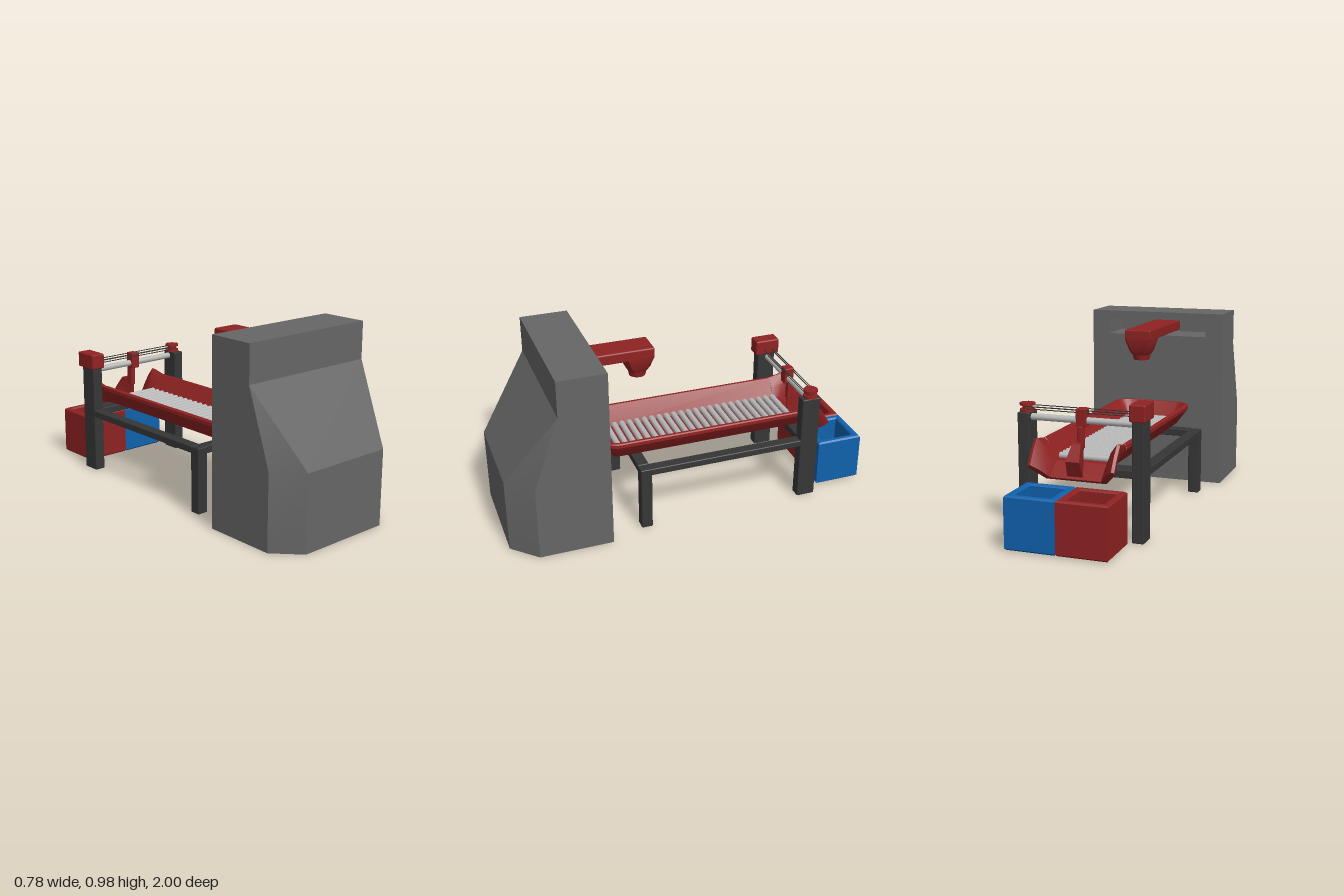
import * as THREE from 'three';
import { toCreasedNormals } from 'three/addons/utils/BufferGeometryUtils.js';
import { RoundedBoxGeometry } from 'three/addons/geometries/RoundedBoxGeometry.js';

const paint = (name, color) => {
  const m = new THREE.MeshStandardMaterial({ color });
  m.name = name;
  return m;
};

// Skin between stacked rings of [x, y, z]; rings run from +x back, round the front, to -x back.
function loft(rings, closed = true) {
  const pos = [];
  const tri = (a, b, c) => {
    const same = (p, q) => p.every((v, i) => Math.abs(v - q[i]) < 1e-6);
    if (!same(a, b) && !same(b, c) && !same(a, c)) pos.push(...a, ...b, ...c);
  };
  const n = rings[0].length;
  for (let k = 0; k < rings.length - 1; k++) {
    const lo = rings[k], hi = rings[k + 1];
    for (let i = 0; i < (closed ? n : n - 1); i++) {
      const j = (i + 1) % n;
      tri(lo[i], hi[i], lo[j]);
      tri(lo[j], hi[i], hi[j]);
    }
  }
  const first = rings[0], last = rings[rings.length - 1];
  for (let i = 1; i < n - 1; i++) {
    tri(first[0], first[i], first[i + 1]);
    tri(last[0], last[i + 1], last[i]);
  }
  const g = new THREE.BufferGeometry();
  g.setAttribute('position', new THREE.Float32BufferAttribute(pos, 3));
  return toCreasedNormals(g, 0.5);
}

// Rectangle with cut corners, for lofting
function octagon(y, w, z0, z1, c) {
  return [[w - c, z0], [w, z0 + c], [w, z1 - c], [w - c, z1], [c - w, z1], [-w, z1 - c], [-w, z0 + c], [c - w, z0]]
    .map(([x, z]) => [x, y, z]);
}

function rectPath(Type, x0, y0, x1, y1) {
  const s = new Type();
  s.moveTo(x0, y0); s.lineTo(x1, y0); s.lineTo(x1, y1); s.lineTo(x0, y1); s.closePath();
  return s;
}

export function createModel() {
  const root = new THREE.Group();
  root.name = 'sortingMachine';
  const grey = paint('housing grey', 0x666666);
  const red = paint('red', 0x8f2222);
  const blue = paint('blue', 0x0f62ad);
  const dark = paint('frame charcoal', 0x363636);
  const steel = paint('roller steel', 0xb8b8b8);

  const add = (name, geo, mat, x = 0, y = 0, z = 0) => {
    const m = new THREE.Mesh(geo, mat);
    m.name = name;
    m.position.set(x, y, z);
    root.add(m);
    return m;
  };
  // Box given by its limits
  const box = (name, mat, x0, x1, y0, y1, z0, z1, r = 0.005) =>
    add(name, new RoundedBoxGeometry(x1 - x0, y1 - y0, z1 - z0, 1, r), mat, (x0 + x1) / 2, (y0 + y1) / 2, (z0 + z1) / 2);
  const bar = (name, mat, r, x0, x1, y, z, sides = 12) =>
    add(name, new THREE.CylinderGeometry(r, r, x1 - x0, sides).rotateZ(Math.PI / 2), mat, (x0 + x1) / 2, y, z);

  // Housing: rear slab with a slot, and a faceted front
  const slab = rectPath(THREE.Shape, -0.39, 0, 0.39, 0.98);
  slab.holes.push(rectPath(THREE.Path, -0.29, 0.847, 0.29, 0.937));
  add('housingBack', new THREE.ExtrudeGeometry(slab, { depth: 0.22, bevelEnabled: false }), grey, 0, 0, 0.48);
  const frontRing = (y, zc, xf, zf) =>
    [[0.39, y, 0.7], [0.39, y, zc], [xf, y, zf], [-xf, y, zf], [-0.39, y, zc], [-0.39, y, 0.7]];
  add('housingFront', loft([
    frontRing(0, 0.87, 0.265, 1), frontRing(0.4, 0.87, 0.265, 1),
    frontRing(0.785, 0.735, 0.39, 0.735), frontRing(0.98, 0.735, 0.39, 0.735),
  ]), grey);

  // Scanner arm, head and lens
  box('scannerArm', red, -0.075, 0.075, 0.857, 0.915, 0.14, 0.7, 0.008);
  add('scannerHead', loft([
    octagon(0.772, 0.045, 0.168, 0.26, 0.02), octagon(0.795, 0.058, 0.155, 0.278, 0.022),
    octagon(0.855, 0.074, 0.141, 0.29, 0.012), octagon(0.87, 0.074, 0.141, 0.298, 0.012),
  ]), red);
  add('scannerLens', new THREE.CylinderGeometry(0.05, 0.044, 0.03, 16), red, 0, 0.76, 0.215);

  // Tray: rim section [inset, height] swept round a U-shaped outline
  const trayRing = ([d, y]) => {
    const w = 0.22 - d, zf = 0.465 - d, r = Math.max(0.09 - d, 0.012), half = [];
    for (let i = 0; i <= 6; i++) {
      const a = (i / 6) * Math.PI / 2;
      half.push([w - r + r * Math.cos(a), y, zf - r + r * Math.sin(a)]);
    }
    half.unshift([w, y, -0.64]);
    return [...half, ...half.map(([x, h, z]) => [-x, h, z]).reverse()];
  };
  add('tray', loft([[0.065, 0.36], [0.004, 0.44], [0, 0.447], [0, 0.465], [0.006, 0.47], [0.02, 0.47], [0.09, 0.375]]
    .map(trayRing), false), red);

  // Chute: trough section bent down over the tray's open end
  const side = [[0.155, 0], [0.216, 0.08], [0.22, 0.105], [0.205, 0.11], [0.165, 0.07], [0.13, 0.015]];
  const trough = new THREE.Shape([...side, ...side.map(([x, h]) => [-x, h]).reverse()]
    .map(([x, h]) => new THREE.Vector2(x, h)));
  const stations = [ // [floor z, floor y, top z, top y], from the lip up to the tray
    [-0.742, 0.295, -0.818, 0.375], [-0.7, 0.33, -0.775, 0.443],
    [-0.665, 0.355, -0.735, 0.49], [-0.64, 0.36, -0.64, 0.47],
  ];
  const chute = new THREE.ExtrudeGeometry(trough, { depth: 3, steps: 3, bevelEnabled: false });
  const cp = chute.attributes.position;
  for (let i = 0; i < cp.count; i++) {
    const [z0, y0, z1, y1] = stations[Math.round(cp.getZ(i))];
    const t = cp.getY(i) / 0.11;
    cp.setXYZ(i, cp.getX(i), y0 + (y1 - y0) * t, z0 + (z1 - z0) * t);
  }
  add('chute', toCreasedNormals(chute, 0.6), red);

  // Rollers
  for (let i = 0; i < 24; i++) bar('roller', steel, 0.016, -0.13, 0.13, 0.387, 0.355 - i * 0.0428, 10);

  // Frame
  for (const s of [-1, 1]) {
    const pair = (name, ...lim) => box(name, dark, s > 0 ? 0.265 : -0.325, s > 0 ? 0.325 : -0.265, ...lim);
    pair('frontLeg', 0, 0.355, 0.245, 0.305);
    pair('rearPost', 0, 0.6, -0.697, -0.595);
    pair('sideRail', 0.318, 0.355, -0.6, 0.25);
  }
  box('frontCrossBeam', dark, -0.27, 0.27, 0.318, 0.358, 0.245, 0.305);
  box('rearCrossBeam', dark, -0.27, 0.27, 0.318, 0.358, -0.697, -0.6);

  // Gantry: rail, motor, pulley and belt
  bar('gantryRail', steel, 0.017, -0.268, 0.268, 0.575, -0.655, 16);
  box('motor', red, -0.338, -0.257, 0.595, 0.68, -0.72, -0.58, 0.008);
  for (const [r, h, y] of [[0.038, 0.012, 0.606], [0.024, 0.025, 0.622], [0.038, 0.012, 0.637]]) {
    add('pulley', new THREE.CylinderGeometry(r, r, h, 20), red, 0.29, y, -0.652);
  }
  for (const z of [-0.678, -0.628]) {
    for (const y of [0.616, 0.628]) bar('belt', dark, 0.0025, -0.26, 0.29, y, z, 6);
  }

  // Diverter: carriage, stem and plough standing in the chute
  box('diverterCarriage', red, -0.026, 0.026, 0.545, 0.635, -0.682, -0.628);
  box('diverterStem', red, -0.014, 0.014, 0.44, 0.55, -0.697, -0.655);
  const plough = (y, zTip, zEnd, w) => [[w, y, zEnd], [0.006, y, zTip], [-0.006, y, zTip], [-w, y, zEnd]];
  add('diverterPlough', loft([
    plough(0.32, -0.68, -0.755, 0.04), plough(0.4, -0.66, -0.79, 0.035), plough(0.475, -0.655, -0.735, 0.022),
  ]), red);

  // Bins: open boxes with a bevelled rim
  const bin = (name, mat, x0) => {
    const wall = rectPath(THREE.Shape, x0 + 0.008, 0.753, x0 + 0.252, 0.992);
    wall.holes.push(rectPath(THREE.Path, x0 + 0.028, 0.773, x0 + 0.232, 0.972));
    add(name + 'Walls', new THREE.ExtrudeGeometry(wall, {
      depth: 0.249, bevelThickness: 0.008, bevelSize: 0.008, bevelSegments: 1,
    }).rotateX(-Math.PI / 2), mat, 0, 0.013, 0);
    box(name + 'Floor', mat, x0 + 0.01, x0 + 0.25, 0.006, 0.03, -0.99, -0.755);
  };
  bin('blueBin', blue, 0);
  bin('redBin', red, -0.26);

  return root;
}
